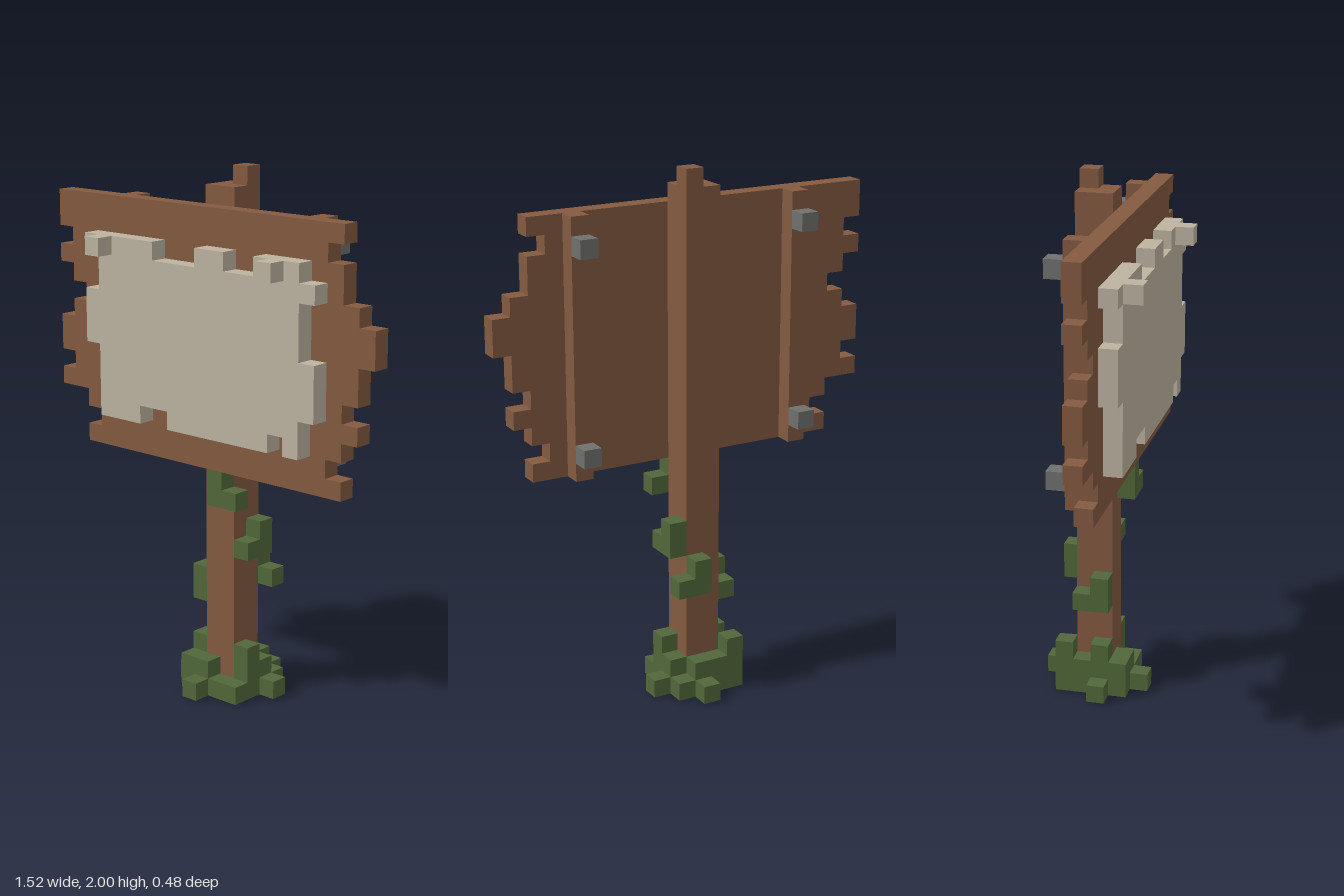
import * as THREE from 'three';

const U = 2 / 29; // size of one block; all coordinates below are in blocks

function mat(name, color) {
  const m = new THREE.MeshStandardMaterial({ color });
  m.name = name;
  return m;
}

export function createModel() {
  const wood = mat('brown wood', 0x845a40);
  const parchment = mat('pale parchment', 0xbdb3a0);
  const leaf = mat('green leaf', 0x51673a);
  const iron = mat('grey iron', 0x70706e);
  const model = new THREE.Group();
  model.name = 'noticeBoard';

  const add = (parent, name, geometry, material) => {
    const mesh = new THREE.Mesh(geometry, material);
    mesh.name = name;
    parent.add(mesh);
    return mesh;
  };

  // Box from its lower and upper corner
  const box = (parent, name, material, [x0, x1, y0, y1, z0, z1]) => {
    const g = new THREE.BoxGeometry((x1 - x0) * U, (y1 - y0) * U, (z1 - z0) * U);
    g.translate((x0 + x1) * U / 2, (y0 + y1) * U / 2, (z0 + z1) * U / 2);
    return add(parent, name, g, material);
  };

  // One-block-thick plate with a stepped outline
  const plate = (name, material, points, z) => {
    const shape = new THREE.Shape(points.map(([x, y]) => new THREE.Vector2(x * U, y * U)));
    const g = new THREE.ExtrudeGeometry(shape, { depth: U, bevelEnabled: false });
    g.translate(0, 0, z * U);
    return add(model, name, g, material);
  };

  // Post with a broken tip
  box(model, 'post', wood, [-1, 1, 0, 28, -1.5, 0.5]);
  box(model, 'postTip', wood, [0, 1, 28, 29, -1.5, -0.5]);

  // Board with ragged ends: reach of each row, from the bottom up
  const left = [9, 8, 9, 11, 10, 11, 11, 10, 9, 10, 11, 10, 11, 11];
  const right = [9, 8, 9, 10, 9, 10, 10, 11, 11, 10, 9, 9, 8, 9];
  const outline = [];
  right.forEach((x, i) => outline.push([x, 13 + i], [x, 14 + i]));
  for (let i = left.length - 1; i >= 0; i--) outline.push([-left[i], 14 + i], [-left[i], 13 + i]);
  const clean = outline.filter(([x, y], i) => {
    const a = outline[(i + outline.length - 1) % outline.length];
    return a[0] !== x || a[1] !== y;
  });
  plate('board', wood, clean, 0.5);

  // Torn sheet on the front
  plate('sheet', parchment, [
    [-7, 15], [-4, 15], [-4, 16], [-2, 16], [-2, 15], [5, 15], [5, 16], [6, 16], [6, 15],
    [7, 15], [7, 17], [8, 17], [8, 20], [7, 20], [7, 23], [8, 23], [8, 24], [7, 24],
    [7, 25], [4, 25], [4, 24], [2, 24], [2, 25], [0, 25], [0, 24], [-3, 24], [-3, 25],
    [-8, 25], [-8, 24], [-7, 24], [-7, 22], [-8, 22], [-8, 19], [-7, 19],
  ], 1.5);
  for (const x of [-7, 5]) box(model, 'sheetCurl', parchment, [x, x + 1, 24, 25, 2.5, 3.5]);

  // Braces and bolts on the back
  for (const x of [-7, 6]) {
    box(model, 'brace', wood, [x, x + 1, 13, 27, -0.5, 0.5]);
    for (const y of [14, 25]) box(model, 'bolt', iron, [x, x + 1, y, y + 1, -1.5, -0.5]);
  }

  // Vine winding up the post
  const vine = new THREE.Group();
  vine.name = 'vine';
  model.add(vine);
  [
    [0, 1, 12, 13, 0.5, 1.5], [0, 2, 11, 12, 0.5, 1.5],
    [1, 2, 8, 10, -1.5, -0.5], [1, 2, 8, 9, -0.5, 0.5],
    [0, 1, 6, 8, -2.5, -1.5], [1, 2, 6, 7, -2.5, -1.5],
    [-2, -1, 5, 7, -0.5, 0.5], [-2, -1, 5, 6, -1.5, -0.5],
  ].forEach((b) => box(vine, 'vineLeaf', leaf, b));

  // Shrub around the foot of the post
  const shrub = new THREE.Group();
  shrub.name = 'shrub';
  model.add(shrub);
  [
    // ground layer
    [0, 1, 0, 1, -3.5, -2.5], [-2, 2, 0, 1, -2.5, -1.5],
    [-2, -1, 0, 1, -1.5, -0.5], [1, 3, 0, 1, -1.5, -0.5],
    [-3, -1, 0, 1, -0.5, 0.5], [1, 2, 0, 1, -0.5, 0.5],
    [-2, 2, 0, 1, 0.5, 1.5], [-1, 0, 0, 1, 1.5, 2.5],
    // middle layer
    [-2, 1, 1, 2, -2.5, -1.5], [-2, -1, 1, 2, -1.5, 0.5],
    [1, 2, 1, 2, -1.5, 0.5], [-2, 0, 1, 2, 0.5, 1.5],
    // top tufts
    [-2, -1, 2, 3, -2.5, -1.5], [-2, -1, 2, 3, -0.5, 0.5], [1, 2, 2, 3, -0.5, 0.5],
  ].forEach((b) => box(shrub, 'shrubLeaf', leaf, b));

  return model;
}
